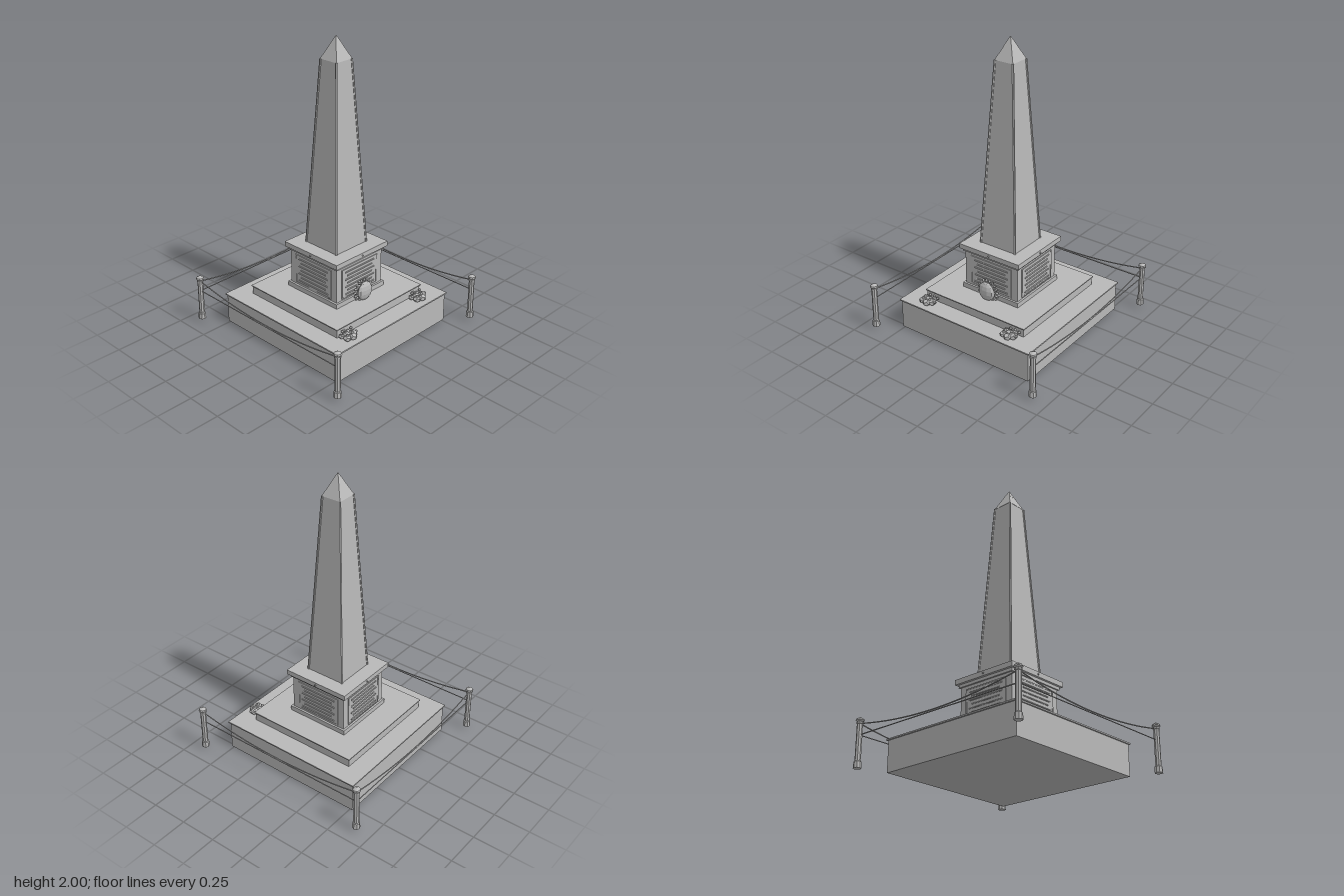
import * as THREE from 'three';

const stone = new THREE.MeshStandardMaterial({ color: 0xb8b8b8 });
stone.name = 'grey stone';

// Faceted mesh with hard edges
function part(name, geometry, parent, x = 0, y = 0, z = 0) {
  const flat = geometry.index ? geometry.toNonIndexed() : geometry;
  flat.computeVertexNormals();
  const mesh = new THREE.Mesh(flat, stone);
  mesh.name = name;
  mesh.position.set(x, y, z);
  parent.add(mesh);
  return mesh;
}

// Square block from y0 to y1, half widths at the bottom and top
function block(name, y0, y1, bottom, top, parent) {
  const geo = top === bottom
    ? new THREE.BoxGeometry(2 * bottom, y1 - y0, 2 * bottom)
    : new THREE.CylinderGeometry(top * Math.SQRT2, bottom * Math.SQRT2, y1 - y0, 4).rotateY(Math.PI / 4);
  return part(name, geo, parent, 0, (y0 + y1) / 2, 0);
}

// Straight rod between two points
function rod(name, a, b, radius, sides, parent) {
  const mesh = part(name, new THREE.CylinderGeometry(radius, radius, a.distanceTo(b), sides), parent);
  mesh.position.copy(a).lerp(b, 0.5);
  mesh.quaternion.setFromUnitVectors(new THREE.Vector3(0, 1, 0), b.clone().sub(a).normalize());
  return mesh;
}

function group(name, parent) {
  const g = new THREE.Group();
  g.name = name;
  parent.add(g);
  return g;
}

export function createModel() {
  const model = new THREE.Group();
  model.name = 'obeliskMonument';
  const V = (x, y, z) => new THREE.Vector3(x, y, z);
  const corners = [[1, 1], [1, -1], [-1, -1], [-1, 1]];

  // Stepped base and pedestal
  block('base', 0, 0.203, 0.517, 0.517, model);
  block('baseSlab', 0.203, 0.212, 0.527, 0.527, model);
  block('step', 0.212, 0.268, 0.395, 0.395, model);
  block('stepSlab', 0.268, 0.275, 0.402, 0.402, model);
  block('pedestalFoot', 0.275, 0.308, 0.225, 0.225, model);
  block('pedestal', 0.308, 0.55, 0.211, 0.211, model);
  block('pedestalNeck', 0.55, 0.57, 0.222, 0.222, model);
  block('cornice', 0.57, 0.604, 0.239, 0.239, model);

  // Obelisk shaft, corner beads and pointed cap
  block('shaft', 0.604, 1.852, 0.139, 0.068, model);
  for (const [sx, sz] of corners) {
    rod('cornerBead', V(sx * 0.138, 0.604, sz * 0.138), V(sx * 0.067, 1.852, sz * 0.067), 0.008, 6, model);
  }
  block('pyramidion', 1.852, 1.99, 0.07, 0.004, model);
  block('capstone', 1.938, 2, 0.03, 0, model);

  // Raised panel with plain ridges and a cornice stud on each side
  for (let i = 0; i < 4; i++) {
    const side = group('pedestalPanel', model);
    side.rotation.y = i * Math.PI / 2;
    part('panelPlate', new THREE.BoxGeometry(0.31, 0.2, 0.006), side, 0, 0.424, 0.212);
    for (const s of [-1, 1]) {
      part('panelFrameSide', new THREE.BoxGeometry(0.01, 0.21, 0.008), side, s * 0.16, 0.424, 0.213);
      part('panelFrameEdge', new THREE.BoxGeometry(0.33, 0.008, 0.008), side, 0, 0.424 + s * 0.101, 0.213);
    }
    for (let j = 0; j < 7; j++) {
      const half = j % 2 ? 0.115 : 0.135;
      rod('panelRidge', V(-half, 0.344 + j * 0.0265, 0.215), V(half, 0.344 + j * 0.0265, 0.215), 0.006, 6, side);
    }
    part('corniceStud', new THREE.OctahedronGeometry(0.008), side, 0, 0.587, 0.239);
  }

  // Wreath leaning on the front of the pedestal
  const wreath = group('wreath', model);
  wreath.position.set(0, 0.337, 0.25);
  const cushion = part('wreathCushion', new THREE.SphereGeometry(0.065, 10, 7), wreath, 0, 0, 0.012);
  cushion.scale.z = 0.42;
  for (let i = 0; i < 18; i++) {
    const a = i / 18 * Math.PI * 2;
    const leaf = part('wreathLeaf', new THREE.OctahedronGeometry(0.018), wreath,
      Math.cos(a) * 0.07, Math.sin(a) * 0.07, -0.006);
    leaf.rotation.z = a;
    leaf.scale.set(1, 0.65, 0.8);
  }

  // Two loose flower bunches on the base
  const blooms = [[-0.035, 0.025, 0.026], [0.005, 0.035, 0.028], [0.03, 0.01, 0.03],
    [-0.01, -0.005, 0.026], [-0.045, -0.015, 0.02], [0.02, -0.025, 0.02]];
  for (const s of [-1, 1]) {
    const bunch = group(s < 0 ? 'rightFlowers' : 'leftFlowers', model);
    bunch.position.set(s < 0 ? -0.34 : 0.325, 0.212, 0.44);
    for (const [x, z, r] of blooms) {
      part('bloom', new THREE.DodecahedronGeometry(r), bunch, x, 0.022, z).scale.y = 0.8;
    }
    for (let i = 0; i < 9; i++) {
      const a = i * 2.4, d = 0.03 + (i % 3) * 0.014;
      part('flowerLeaf', new THREE.OctahedronGeometry(0.013), bunch,
        Math.cos(a) * d, 0.03 + (i % 2) * 0.008, Math.sin(a) * d * 0.8);
    }
  }

  // Fence posts at the four corners
  const P = 0.643;
  const profile = [[0, 0.025], [0.026, 0.025], [0.024, 0.065], [0.019, 0.07], [0.019, 0.303], [0.022, 0.305],
    [0.022, 0.316], [0.018, 0.318], [0.028, 0.326], [0.024, 0.336], [0, 0.35]].map(p => new THREE.Vector2(...p));
  for (const [sx, sz] of corners) {
    part('fencePost', new THREE.LatheGeometry(profile, 8), model, sx * P, 0, sz * P);
  }

  // Hanging chain and straight rail on the back and both sides; the front stays open
  for (let i = 0; i < 3; i++) {
    const [ax, az] = corners[i], [bx, bz] = corners[i + 1];
    const points = [];
    for (let k = 0; k <= 8; k++) {
      const t = k / 8, u = 2 * t - 1;
      points.push(V(P * (ax + (bx - ax) * t), 0.245 + 0.063 * u * u, P * (az + (bz - az) * t)));
    }
    part('fenceChain', new THREE.TubeGeometry(new THREE.CatmullRomCurve3(points), 20, 0.004, 6), model);
    rod('fenceRail', V(ax * P, 0.235, az * P), V(bx * P, 0.235, bz * P), 0.0035, 6, model);
  }
  return model;
}
